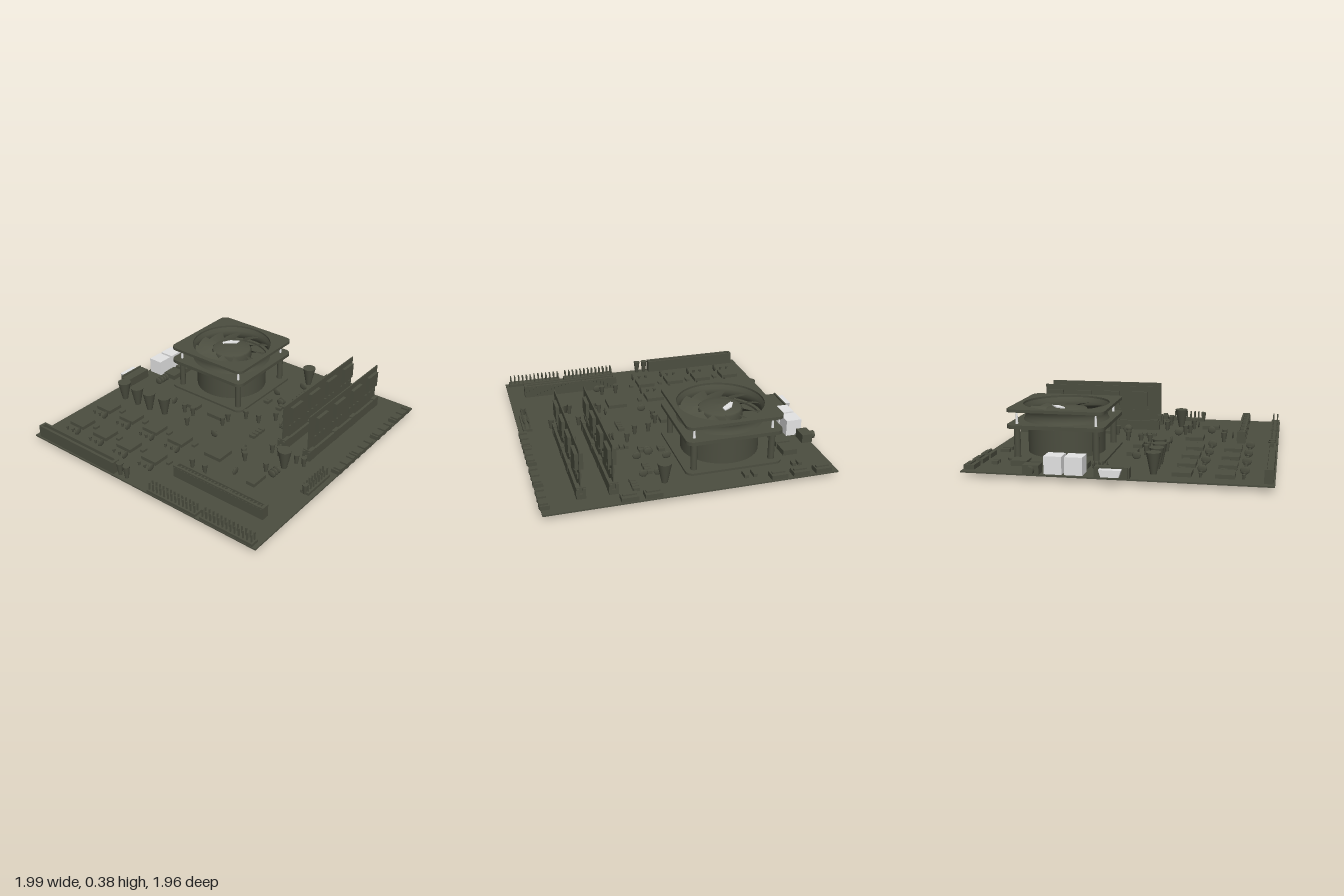
import * as THREE from 'three';

export function createModel() {
  const model = new THREE.Group();
  const olive = new THREE.MeshStandardMaterial({ color: 0x4c4e40, side: THREE.DoubleSide });
  olive.name = 'olive';
  const white = new THREE.MeshStandardMaterial({ color: 0xe4e4e4 });
  white.name = 'white';
  const TOP = 0.04; // upper face of the board

  const add = (name, geo, x, y, z, mat = olive, parent = model) => {
    const m = new THREE.Mesh(geo, mat);
    m.name = name;
    m.position.set(x, y, z);
    parent.add(m);
    return m;
  };
  // box given by centre in plan, size in plan, and its bottom and top heights
  const box = (name, x, z, w, d, y0, y1, mat = olive, parent = model) =>
    add(name, new THREE.BoxGeometry(w, y1 - y0, d), x, (y0 + y1) / 2, z, mat, parent);
  const cyl = (name, x, z, rTop, rBottom, y0, y1, parent = model, sides = 16) =>
    add(name, new THREE.CylinderGeometry(rTop, rBottom, y1 - y0, sides), x, (y0 + y1) / 2, z, olive, parent);

  box('board', 0.0225, -0.005, 1.925, 1.96, 0.03, TOP);

  // ---- cooler ----
  const cooler = new THREE.Group();
  cooler.name = 'cooler';
  cooler.position.set(-0.305, 0, -0.46);
  model.add(cooler);
  const plate = (name, half, hole, y0, y1) => {
    const r = 0.05, s = new THREE.Shape();
    s.moveTo(-half + r, -half);
    [[1, -1], [1, 1], [-1, 1], [-1, -1]].forEach(([sx, sz], i) => {
      const a = -Math.PI / 2 + i * Math.PI / 2;
      s.absarc(sx * (half - r), sz * (half - r), r, a, a + Math.PI / 2, false);
    });
    s.holes.push(new THREE.Path().absarc(0, 0, hole, 0, Math.PI * 2, true));
    const g = new THREE.ExtrudeGeometry(s, { depth: y1 - y0, bevelEnabled: false, curveSegments: 24 });
    g.rotateX(-Math.PI / 2);
    add(name, g, 0, y0, 0, olive, cooler);
  };
  plate('topFrame', 0.33, 0.295, 0.365, 0.385);
  plate('lowerFrame', 0.33, 0.27, 0.255, 0.28);
  plate('basePlate', 0.33, 0.25, TOP, 0.055);
  plate('backPlate', 0.32, 0.25, 0.018, 0.03);
  const lathe = (name, pts) => add(name,
    new THREE.LatheGeometry(pts.map(p => new THREE.Vector2(...p)), 48), 0, 0, 0, olive, cooler);
  lathe('shroud', [[0.3, 0.27], [0.285, 0.295], [0.278, 0.32], [0.282, 0.345], [0.297, 0.375]]);
  lathe('hub', [[0.15, 0.28], [0.15, 0.335], [0.14, 0.345], [0.08, 0.356], [0.0001, 0.362]]);
  cyl('heatSink', 0, 0, 0.265, 0.265, 0.055, 0.24, cooler, 48);
  cyl('heatSinkCap', 0, 0, 0.27, 0.27, 0.25, 0.265, cooler, 48);

  // twisted fan blades
  for (let i = 0; i < 11; i++) {
    const g = new THREE.PlaneGeometry(1, 1, 4, 4), p = g.attributes.position;
    for (let k = 0; k < p.count; k++) {
      const u = p.getX(k) + 0.5, v = p.getY(k);
      const r = 0.14 + 0.138 * u, a = v * 0.5 + u * 0.12;
      p.setXYZ(k, r * Math.cos(a), 0.318 + v * (0.06 - 0.015 * u) + 0.02 * (0.25 - v * v), r * Math.sin(a));
    }
    g.computeVertexNormals();
    add('fanBlade', g, 0, 0, 0, olive, cooler).rotation.y = i * Math.PI * 2 / 11;
  }
  // pale patch on the hub
  const patch = new THREE.Shape([[-0.09, 0], [-0.06, 0.06], [0, 0.1], [0.005, 0.06], [-0.04, 0.02], [-0.075, -0.01]]
    .map(p => new THREE.Vector2(...p)));
  const patchGeo = new THREE.ExtrudeGeometry(patch, { depth: 0.008, bevelEnabled: false });
  patchGeo.rotateX(-Math.PI / 2);
  add('hubPatch', patchGeo, 0, 0.356, 0, white, cooler);

  for (const sx of [-1, 1]) for (const sz of [-1, 1]) {
    const x = sx * 0.268, z = sz * 0.268;
    cyl('coolerPost', x, z, 0.022, 0.022, TOP, 0.255, cooler);
    cyl('coolerFoot', x, z, 0.02, 0.02, 0, 0.03, cooler);
    add('coolerScrew', new THREE.CylinderGeometry(0.006, 0.01, 0.07, 10), x, 0.315, z, white, cooler);
  }

  // ---- memory modules with chips on both faces ----
  for (const x of [0.522, 0.727]) {
    for (const s of [-1, 1]) box('memorySlotWall', x + s * 0.02, -0.407, 0.018, 0.925, TOP, 0.11);
    box('memorySlotFloor', x, -0.407, 0.04, 0.925, TOP, 0.075);
    for (const z of [-0.83, -0.52, -0.29, 0.015]) box('memorySlotClip', x, z, 0.062, 0.06, TOP, 0.118);
    box('memoryModule', x, -0.408, 0.008, 0.892, 0.075, 0.375);
    for (const z of [-0.1, -0.323, -0.547, -0.77]) {
      box('memoryChip', x, z, 0.054, 0.122, 0.225, 0.335);
      for (const dz of [-0.045, 0.01, 0.065]) box('memoryResistor', x, z + dz, 0.028, 0.016, 0.16, 0.195);
    }
  }

  // ---- expansion slots: two walls, floor, ribs ----
  const slot = (x, z, len, y1, ribs) => {
    for (const s of [-1, 1]) box('slotWall', x, z + s * 0.021, len, 0.014, TOP, y1);
    box('slotFloor', x, z, len, 0.04, TOP, y1 - 0.025);
    for (const s of [-1, 1]) box('slotEnd', x + s * (len / 2 - 0.01), z, 0.02, 0.056, TOP, y1);
    for (let i = 0; i < ribs; i++)
      box('slotRib', x - len / 2 + (i + 0.5) * len / ribs, z, 0.01, 0.064, TOP + 0.015, y1 - 0.01);
  };
  slot(0.505, 0.71, 0.72, 0.128, 26);
  slot(-0.54, 0.937, 0.72, 0.128, 0);
  box('slotKey', 0.58, 0.71, 0.025, 0.05, TOP, 0.12);

  // ---- pin headers ----
  const header = (x0, z0, nx, nz, step) => {
    const w = nx * step, d = nz * step;
    box('headerBase', x0 + w / 2, z0 + d / 2, w, d, TOP, 0.06);
    for (let i = 0; i < nx; i++) for (let j = 0; j < nz; j++)
      box('headerPin', x0 + (i + 0.5) * step, z0 + (j + 0.5) * step, 0.009, 0.009, 0.06, 0.115);
  };
  header(0.12, 0.91, 13, 2, 0.031);
  header(0.555, 0.91, 13, 2, 0.031);
  header(0.89, 0.11, 2, 8, 0.032);

  // ---- edge connectors ----
  for (const z of [-0.823, -0.557, -0.277, -0.045]) {
    box('sideConnector', 0.96, z, 0.06, 0.215, TOP, 0.068);
    for (const dz of [-0.08, 0, 0.08]) box('sideConnectorTab', 0.967, z + dz, 0.055, 0.03, TOP, 0.08);
  }
  for (const x of [-0.84, -0.685, -0.535, 0.295, 0.445]) {
    box('rearConnector', x, -0.945, 0.11, 0.07, TOP, 0.07);
    box('rearConnectorRidge', x, -0.945, 0.09, 0.02, 0.07, 0.08);
  }

  // ---- left-hand ports ----
  for (const z of [-0.388, -0.255]) box('whiteSocket', -0.865, z, 0.11, 0.115, TOP, 0.155, white);
  box('roundPort', -0.91, -0.522, 0.075, 0.105, TOP, 0.1);
  add('roundPortMouth', new THREE.CylinderGeometry(0.027, 0.027, 0.05, 16), -0.955, 0.07, -0.522).rotation.z = Math.PI / 2;
  box('serialPort', -0.91, -0.01, 0.07, 0.22, TOP, 0.105);
  box('serialFlange', -0.95, -0.01, 0.012, 0.21, 0.045, 0.115);
  const dShape = new THREE.Shape([[-0.07, 0.025], [0.07, 0.025], [0.055, -0.02], [-0.055, -0.02]]
    .map(p => new THREE.Vector2(...p)));
  add('serialShell', new THREE.ExtrudeGeometry(dShape, { depth: 0.045, bevelEnabled: false }),
    -0.955, 0.08, -0.01, white).rotation.y = -Math.PI / 2;

  // ---- chips: x, z, width, depth, top ----
  const chips = [[0.222, 0.37, 0.138, 0.13, 0.07], [0.603, 0.45, 0.064, 0.13, 0.07],
    [-0.313, 0.005, 0.13, 0.064, 0.07], [-0.083, 0.005, 0.13, 0.064, 0.07]];
  for (const z of [-0.655, -0.53, -0.39, -0.255]) chips.push([-0.723, z, 0.1, 0.108, 0.08]);
  for (const x of [-0.78, -0.55, -0.32, -0.085]) for (const z of [0.407, 0.672]) {
    chips.push([x, z, 0.13, 0.12, 0.07], [x + 0.118, z - 0.02, 0.026, 0.043, 0.06]);
    for (const dx of [-0.035, 0.018]) cyl('chipCapacitor', x + dx, z + 0.113, 0.011, 0.007, TOP, 0.07);
    disc(x + 0.072, z + 0.113, true);
  }
  for (const [x, z, w, d, y] of chips) box('chip', x, z, w, d, TOP + 0.004, y);

  // ---- tapered capacitors, wider at the top ----
  for (const [x, z] of [[-0.79, 0.225], [-0.66, 0.225], [-0.54, 0.225], [-0.412, 0.203], [0.182, -0.81], [0.658, 0.21]])
    cyl('largeCapacitor', x, z, 0.048, 0.02, TOP, 0.18, model, 24);
  for (const [x, z] of [[-0.31, 0.096], [-0.23, 0.096], [-0.18, 0.22], [0.1, -0.11], [0.203, -0.123], [0.283, -0.225],
    [0.02, 0], [0.02, 0.065], [0.374, 0.278], [0.406, 0.31], [0.588, 0.32], [0.497, 0.12], [0.556, 0.12],
    [0.695, 0.12], [0.754, 0.12], [0.92, 0.358], [0.176, 0.583], [0.283, 0.583]])
    cyl('smallCapacitor', x, z, 0.02, 0.011, TOP, 0.11);
  for (const x of [-0.145, -0.086]) cyl('frontCapacitor', x, 0.936, 0.024, 0.013, TOP, 0.13);

  // ---- thin upright disc capacitors ----
  function disc(x, z, alongZ) {
    const m = add('discCapacitor', new THREE.SphereGeometry(0.03, 12, 8), x, 0.067, z);
    m.scale.set(alongZ ? 0.25 : 1, 0.9, alongZ ? 1 : 0.25);
  }
  for (const [x, z] of [[-0.445, 0.053], [0.337, 0.23], [0.45, 0.47], [0.37, -0.17], [0.39, -0.17], [0.415, -0.17]])
    disc(x, z, true);
  for (const [x, z] of [[0.085, -0.52], [0.278, -0.48], [0.197, -0.713], [0.294, -0.713], [0.064, 0.215], [0.31, 0.64],
    [0.655, 0.292], [0.655, 0.32], [0.655, 0.348], [0.19, -0.443], [0.19, -0.415],
    [-0.732, -0.17], [-0.732, -0.142], [-0.732, -0.115], [-0.732, -0.085]])
    disc(x, z, false);

  // ---- rows of small resistors: x, z, step x, step z, count ----
  for (const [x, z, dx, dz, n] of [[0.38, -0.86, 0, 0.033, 4], [0.251, -0.68, 0, 0.033, 4], [0.219, -0.39, 0, 0.035, 2],
    [0.283, -0.05, 0, 0.035, 4], [0.31, -0.305, 0.033, 0, 4], [-0.73, -0.83, 0.04, 0, 2],
    [-0.395, -0.89, 0.06, 0, 2], [-0.395, -0.865, 0.06, 0, 2], [0.09, -0.41, 0, 0.03, 2]])
    for (let i = 0; i < n; i++)
      box('resistor', x + i * dx, z + i * dz, dx ? 0.026 : 0.043, dx ? 0.043 : 0.026, TOP, 0.062);

  return model;
}
